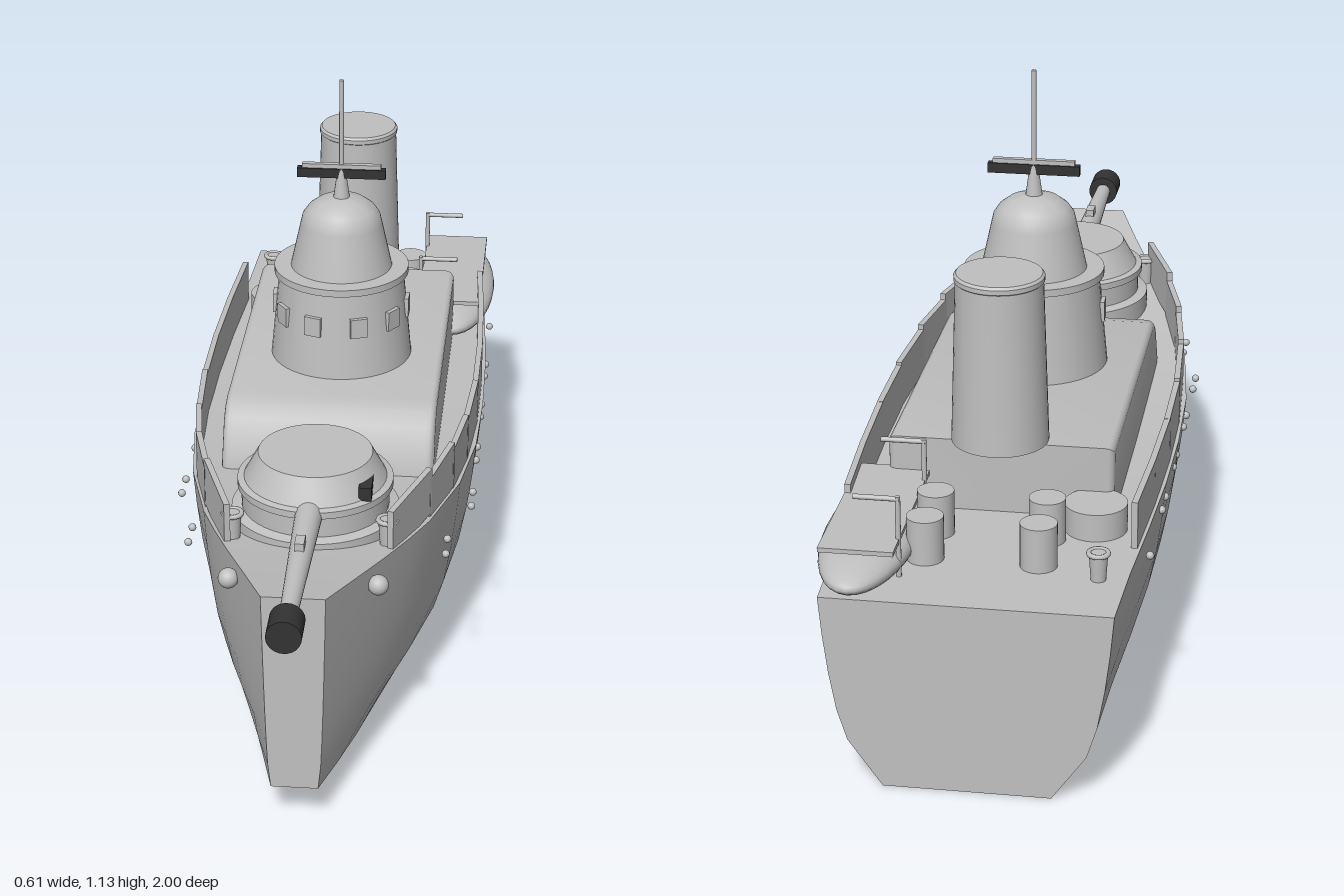
import * as THREE from 'three';
import { toCreasedNormals } from 'three/addons/utils/BufferGeometryUtils.js';

const gray = new THREE.MeshStandardMaterial({ color: 0xc0c0c0 });
gray.name = 'hull gray';
const dark = new THREE.MeshStandardMaterial({ color: 0x333333 });
dark.name = 'dark gray';

// Half width of the deck at stations along the ship: [z, x]
const STATIONS = [[-0.975, 0.27], [-0.8, 0.277], [-0.6, 0.29], [-0.4, 0.3], [-0.2, 0.303], [0, 0.298],
  [0.2, 0.274], [0.4, 0.225], [0.5, 0.19], [0.6, 0.152], [0.72, 0.105], [0.84, 0.06]];
// Cross-section of the hull side: [height fraction, width fraction]
const SECTION = [[0, 0.58], [0.12, 0.7], [0.24, 0.82], [0.4, 0.89], [0.6, 0.94], [0.8, 0.975], [1, 1]];

const deckY = z => 0.38 + 0.115 * (Math.max(z + 0.3, 0) / 1.14) ** 2;
const keelY = z => 0.08 * (Math.max(z + 0.25, 0) / 1.09) ** 2;
function deckX(z) {
  let i = 0;
  while (i < STATIONS.length - 2 && STATIONS[i + 1][0] < z) i++;
  const [a, b] = [STATIONS[i], STATIONS[i + 1]];
  return THREE.MathUtils.lerp(a[1], b[1], (z - a[0]) / (b[0] - a[0]));
}
// Hull side point at height fraction t; sections straighten toward the bow
function hullPoint(z, [t, w], side) {
  const bow = Math.max(0, (z - 0.2) / 0.64) ** 2;
  const k = THREE.MathUtils.lerp(w, 0.75 + 0.25 * Math.sqrt(t), bow);
  return [side * deckX(z) * k, THREE.MathUtils.lerp(keelY(z), deckY(z), t), z];
}

// Surface through rows of points
function loft(rows) {
  const n = rows[0].length, index = [];
  for (let i = 0; i < rows.length - 1; i++) {
    for (let j = 0; j < n - 1; j++) {
      const a = i * n + j, c = a + n;
      index.push(a, a + 1, c, a + 1, c + 1, c);
    }
  }
  const g = new THREE.BufferGeometry();
  g.setAttribute('position', new THREE.Float32BufferAttribute(rows.flat(2), 3));
  g.setIndex(index);
  g.computeVertexNormals();
  return g;
}

export function createModel() {
  const ship = new THREE.Group();
  ship.name = 'ship';
  function add(name, geo, x = 0, y = 0, z = 0, mat = gray, parent = ship) {
    const m = new THREE.Mesh(geo, mat);
    m.name = name;
    m.position.set(x, y, z);
    parent.add(m);
    return m;
  }
  const box = (w, h, d) => new THREE.BoxGeometry(w, h, d);
  const cyl = (rt, rb, h, n = 32) => new THREE.CylinderGeometry(rt, rb, h, n);
  const lathe = pts => toCreasedNormals(
    new THREE.LatheGeometry(pts.map(p => new THREE.Vector2(...p)), 48), 0.5);

  // Hull: sides, deck, bottom, transom and blunt stem
  const zs = STATIONS.map(s => s[0]);
  const [stern, bow] = [zs[0], zs[zs.length - 1]];
  const top = SECTION[SECTION.length - 1], bottom = SECTION[0];
  const down = [...SECTION].reverse();
  add('hullLeftSide', loft(zs.map(z => SECTION.map(s => hullPoint(z, s, 1)))));
  add('hullRightSide', loft(zs.map(z => down.map(s => hullPoint(z, s, -1)))));
  add('deck', loft(zs.map(z => [hullPoint(z, top, 1), hullPoint(z, top, -1)])));
  add('hullBottom', loft(zs.map(z => [hullPoint(z, bottom, -1), hullPoint(z, bottom, 1)])));
  add('transom', loft(SECTION.map(s => [hullPoint(stern, s, 1), hullPoint(stern, s, -1)])));
  add('stem', loft(SECTION.map(s => [hullPoint(bow, s, -1), hullPoint(bow, s, 1)])));

  // Stepped bulwark plates, portholes and anchor bosses on both sides
  const joints = [0.55, 0.375, 0.225, 0.075, -0.11, -0.3, -0.5, -0.69];
  const portholes = [0.4, 0.34, 0.2, 0.14, 0, -0.06, -0.2, -0.26, -0.4, -0.46, -0.66];
  for (const side of [1, -1]) {
    for (let i = 0; i < joints.length - 1; i++) {
      const z0 = joints[i], z1 = joints[i + 1], zm = (z0 + z1) / 2;
      const dx = deckX(z0) - deckX(z1);
      const plate = add('bulwarkPlate', box(0.012, 0.098, Math.hypot(dx, z0 - z1) + 0.01),
        side * ((deckX(z0) + deckX(z1)) / 2 - 0.012), deckY(zm) + 0.045, zm);
      plate.rotation.y = side * Math.atan2(dx, z0 - z1);
    }
    for (const z of portholes) {
      add('porthole', new THREE.SphereGeometry(0.008, 12, 8), side * (z > 0.3 ? 0.257 : 0.298), 0.35, z);
    }
    add('anchorBoss', new THREE.SphereGeometry(0.02, 20, 14), side * 0.143, 0.425, 0.66);
  }

  // Deckhouse with sloping front
  const profile = new THREE.Shape([[0.56, 0.37], [0.56, 0.51], [-0.07, 0.51], [-0.1, 0.503], [-0.125, 0.485],
    [-0.165, 0.41], [-0.165, 0.37]].map(p => new THREE.Vector2(...p)));
  const house = new THREE.ExtrudeGeometry(profile,
    { depth: 0.4, bevelEnabled: true, bevelSize: 0.015, bevelThickness: 0.018, bevelSegments: 4 });
  house.translate(0, 0, -0.2);
  house.rotateY(Math.PI / 2);
  add('deckhouse', toCreasedNormals(house, 0.6));

  // Bridge tower with domed top
  const bridge = new THREE.Group();
  bridge.name = 'bridge';
  bridge.position.z = -0.15;
  ship.add(bridge);
  add('bridgeTower', lathe([[0.149, 0.52], [0.131, 0.71], [0.141, 0.71], [0.141, 0.725], [0.106, 0.725],
    [0.085, 0.82], [0.081, 0.837], [0.07, 0.853], [0.05, 0.868], [0.025, 0.876], [0, 0.879]]),
    0, 0, 0, gray, bridge);
  for (const deg of [20, 55, 88]) {
    for (const side of [1, -1]) {
      const a = side * deg * Math.PI / 180;
      const w = add('bridgeWindow', box(0.036, 0.042, 0.012),
        Math.sin(a) * 0.138, 0.637, Math.cos(a) * 0.138, gray, bridge);
      w.rotation.y = a;
    }
  }
  add('mastBase', cyl(0.008, 0.018, 0.07, 16), 0, 0.905, 0, gray, bridge);
  add('mast', cyl(0.005, 0.005, 0.21, 12), 0, 1.028, 0, gray, bridge);
  add('radarBar', box(0.184, 0.02, 0.016), 0, 0.93, 0, dark, bridge);
  add('radarPlate', box(0.164, 0.009, 0.012), 0, 0.945, 0, gray, bridge);

  // Funnel with rim
  add('funnel', lathe([[0, 0.535], [0.093, 0.535], [0.083, 0.855], [0.0855, 0.857], [0.0855, 0.866],
    [0.081, 0.871], [0, 0.871]]), 0, 0, -0.575);

  // Gun turret and barrel
  const gun = new THREE.Group();
  gun.name = 'gun';
  gun.position.z = 0.415;
  ship.add(gun);
  add('turret', lathe([[0.165, 0.41], [0.165, 0.46], [0.145, 0.465], [0.145, 0.505], [0.153, 0.508],
    [0.153, 0.522], [0.14, 0.525], [0.112, 0.577], [0, 0.577]]), 0, 0, 0, gray, gun);
  add('barrel', cyl(0.016, 0.028, 0.44, 24), 0, 0.508, 0.31, gray, gun).rotation.x = Math.PI / 2;
  add('muzzle', cyl(0.033, 0.033, 0.066, 24), 0, 0.508, 0.552, dark, gun).rotation.x = Math.PI / 2;
  add('barrelSight', box(0.018, 0.025, 0.035), 0, 0.532, 0.295, gray, gun);
  add('turretSight', box(0.025, 0.028, 0.06), 0.105, 0.538, 0.07, dark, gun);

  // Lifeboat under a flat canopy, and its davits
  add('lifeboat', new THREE.SphereGeometry(1, 32, 20), 0.213, 0.405, -0.75).scale.set(0.09, 0.042, 0.245);
  add('lifeboatCanopy', box(0.14, 0.009, 0.37), 0.208, 0.452, -0.745);
  for (const z of [-0.87, -0.615]) {
    add('davitPost', cyl(0.005, 0.005, 0.16, 10), 0.14, 0.46, z);
    add('davitArm', cyl(0.005, 0.005, 0.085, 10), 0.18, 0.535, z).rotation.z = Math.PI / 2;
  }

  // Stern canisters, hatch and bollards
  for (const x of [-0.106, 0.106]) {
    for (const z of [-0.79, -0.68]) add('canister', cyl(0.035, 0.035, 0.09), x, 0.422, z);
  }
  add('sternHatch', cyl(0.06, 0.06, 0.06), -0.19, 0.405, -0.62);
  for (const [x, z] of [[-0.222, -0.83], [-0.15, 0.53], [0.15, 0.53]]) {
    add('bollard', cyl(0.018, 0.014, 0.06, 20), x, deckY(z) + 0.025, z);
    add('bollardRim', new THREE.TorusGeometry(0.018, 0.005, 8, 24), x, deckY(z) + 0.053, z).rotation.x = Math.PI / 2;
  }
  return ship;
}
